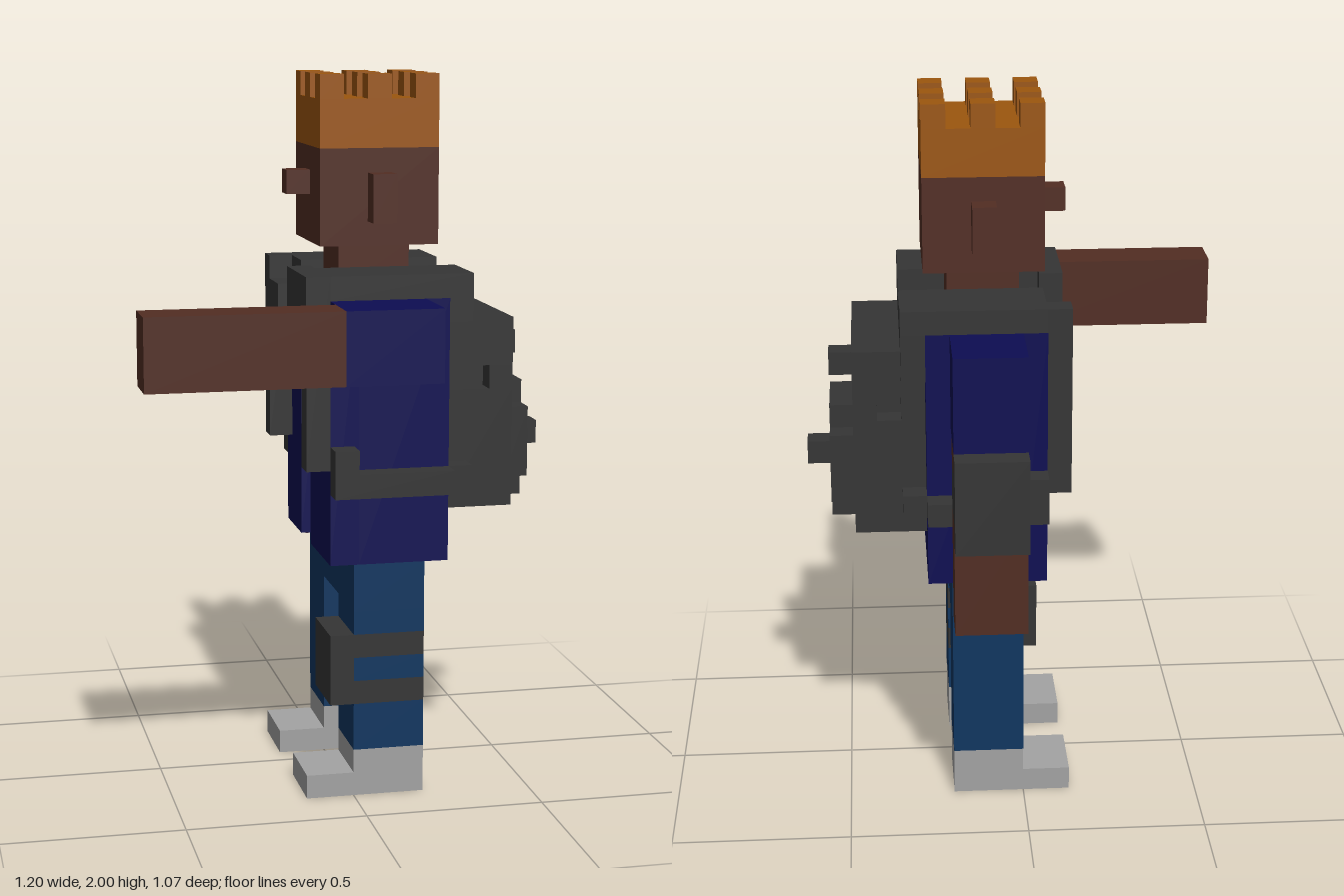
import * as THREE from 'three';

const U = 1 / 15; // size of one block

const mat = (name, color) => {
  const m = new THREE.MeshStandardMaterial({ color });
  m.name = name;
  return m;
};

export function createModel() {
  const hair = mat('orange hair', 0x9c560e);
  const skin = mat('brown skin', 0x522d23);
  const navy = mat('navy jacket', 0x0d0d52);
  const gray = mat('dark gray gear', 0x353535);
  const blue = mat('blue trousers', 0x0f3660);
  const pale = mat('light gray shoes', 0xa3a3a3);

  const model = new THREE.Group();
  model.name = 'blockFigure';
  const part = (name) => {
    const g = new THREE.Group();
    g.name = name;
    model.add(g);
    return g;
  };
  // box between two block corners, as [from, to] ranges per axis
  const box = (parent, name, m, [x0, x1], [y0, y1], [z0, z1]) => {
    const geo = new THREE.BoxGeometry((x1 - x0) * U, (y1 - y0) * U, (z1 - z0) * U);
    const mesh = new THREE.Mesh(geo, m);
    mesh.position.set((x0 + x1) / 2 * U, (y0 + y1) / 2 * U, (z0 + z1) / 2 * U);
    mesh.name = name;
    parent.add(mesh);
  };

  // head, facing -x, with spiky hair
  const head = part('head');
  box(head, 'face', skin, [-1, 4], [23, 27], [-2, 3]);
  box(head, 'neck', skin, [0, 3], [21, 23], [-1, 2]);
  box(head, 'nose', skin, [-2, -1], [25, 26], [0, 1]);
  for (const z of [-3, 3]) box(head, 'ear', skin, [1, 2], [24, 26], [z, z + 1]);
  box(head, 'hair', hair, [-1, 4], [27, 29], [-2, 3]);
  for (const x of [-1, 1, 3])
    for (const z of [-2, 0, 2]) box(head, 'hairSpike', hair, [x, x + 1], [29, 30], [z, z + 1]);

  // torso with an open jacket over a dark shirt
  const torso = part('torso');
  box(torso, 'jacketBack', navy, [0.2, 4], [10, 21], [-4, 5]);
  box(torso, 'shirt', gray, [0, 0.2], [10, 21], [-1, 1]);
  box(torso, 'jacketPanel', navy, [-1, 0.2], [10, 21], [-4, -1]);
  box(torso, 'jacketPanel', navy, [-1, 0.2], [10, 21], [1, 5]);

  // legs and shoes
  const legs = part('legs');
  box(legs, 'hips', blue, [0, 3], [8, 10], [-4, 5]);
  box(legs, 'leg', blue, [0, 3], [2, 8], [-4, -1]);
  [[2, 4, blue], [4, 5, gray], [5, 6, blue], [6, 7, gray], [7, 8, blue]].forEach(([a, b, m]) =>
    box(legs, m === gray ? 'kneeStrap' : 'paddedLeg', m, [0, 3], [a, b], [2, 5]));
  box(legs, 'kneePad', gray, [-1, 0], [4, 7], [2, 5]);
  for (const z of [-4, 2]) {
    box(legs, 'shoe', pale, [0, 3], [0, 2], [z, z + 3]);
    box(legs, 'shoeToe', pale, [-2, 0], [0, 1], [z, z + 3]);
  }

  // arm reaching forward
  const reach = part('raisedArm');
  box(reach, 'sleeve', navy, [-1, 3], [18, 21], [5, 8]);
  box(reach, 'forearm', skin, [-9, -1], [18, 21], [6, 8]);

  // hanging arm with an elbow pad
  const hang = part('hangingArm');
  box(hang, 'sleeve', navy, [0, 3], [17, 21], [-7, -4]);
  box(hang, 'upperArm', skin, [0, 3], [16, 17], [-7, -5]);
  box(hang, 'padStrap', gray, [0, 3], [14, 16], [-7, -5]);
  box(hang, 'forearm', skin, [0, 3], [9, 14], [-7, -5]);
  box(hang, 'elbowPad', gray, [0, 3], [13, 17], [-8, -7]);

  // shoulder straps and belts of the backpack
  const straps = part('straps');
  box(straps, 'yoke', gray, [4, 5], [20, 21], [-4, 5]);
  [[-4, -1, -4], [2, 5, 4]].forEach(([z0, z1, edge]) => {
    box(straps, 'shoulderStrap', gray, [-1, 5], [21, 22], [z0, z1]);
    box(straps, 'backStrap', gray, [4, 5], [19, 20], [edge, edge + 1]);
    box(straps, 'chestStrap', gray, [-2, -1], [14, 22], [edge, edge + 1]);
    box(straps, 'beltEnd', gray, [4, 5], [13, 14], [edge, edge + 1]);
  });
  box(straps, 'chestFlap', gray, [-2, -1], [19, 21], [-3, -1]);
  box(straps, 'chestFlap', gray, [-2, -1], [19, 22], [1, 4]);
  for (const z of [-5, 5]) {
    box(straps, 'belt', gray, [-1, 4], [13, 14], [z, z + 1]);
    box(straps, 'beltLoop', gray, [-1, 0], [14, 15], [z, z + 1]);
  }

  // backpack, with recesses in the sides and back
  const pack = part('backpack');
  box(pack, 'packBody', gray, [4, 7], [12, 17], [-3, 4]);
  box(pack, 'packTop', gray, [4, 7], [18, 20], [-3, 4]);
  box(pack, 'packInner', gray, [4, 5], [17, 18], [-3, 4]);
  box(pack, 'packMiddle', gray, [5, 6], [17, 18], [-2, 3]);
  box(pack, 'packCorner', gray, [6, 7], [17, 18], [-3, -1]);
  box(pack, 'packCorner', gray, [6, 7], [17, 18], [2, 4]);
  box(pack, 'pocket', gray, [7, 8], [13, 16], [-2, 3]);
  box(pack, 'pocketTop', gray, [7, 8], [16, 17], [-1, 2]);
  box(pack, 'pocketBase', gray, [7, 8], [12, 13], [-1, 2]);
  box(pack, 'pocketKnob', gray, [8, 9], [14, 15], [0, 1]);
  box(pack, 'buckle', gray, [7, 8], [18, 19], [0, 1]);

  return model;
}
